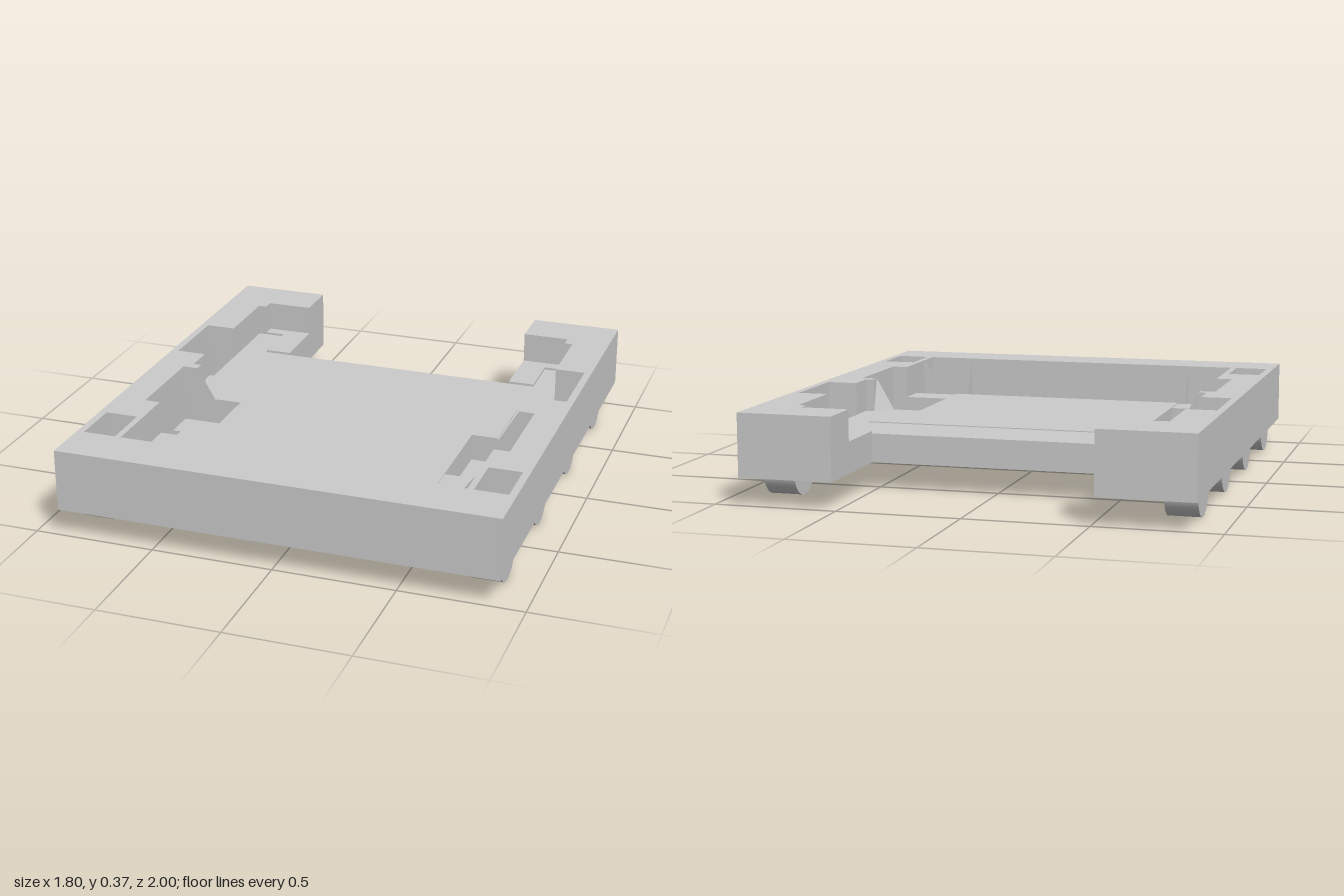
import * as THREE from 'three';

const grey = new THREE.MeshStandardMaterial({ color: 0xcccccc, flatShading: true, side: THREE.DoubleSide });
const smooth = new THREE.MeshStandardMaterial({ color: 0xcccccc, side: THREE.DoubleSide });

const Y0 = 0.11, SKIN = 0.12, FLOOR = 0.228, LEDGE = 0.238, TOP = 0.365;
const FOOT_R = 0.107, FOOT_Z = [0.78, 0.28, -0.22, -0.72], FOOT_X = [0.74, 0.87];

const toVectors = (points) => points.map(([x, z]) => new THREE.Vector2(x, -z));
const mirror = (points) => points.map(([x, z]) => [-x, z]);
const rect = (x0, x1, z0, z1) => [[x0, z0], [x1, z0], [x1, z1], [x0, z1]];
const bothSides = (list) => list.flatMap((p) => [p, mirror(p)]);

// Flat plan [x, z] with holes, raised from y0 to y1
function layer(name, plan, holes, y0, y1) {
  const shape = new THREE.Shape(toVectors(plan));
  shape.holes = holes.map((h) => new THREE.Path(toVectors(h)));
  const g = new THREE.ExtrudeGeometry(shape, { depth: y1 - y0, bevelEnabled: false });
  g.rotateX(-Math.PI / 2).translate(0, y0, 0);
  const m = new THREE.Mesh(g, grey);
  m.name = name;
  return m;
}

// Thin polygon through a few corners, as a fan
function sheet(name, corners) {
  const g = new THREE.BufferGeometry();
  g.setAttribute('position', new THREE.Float32BufferAttribute(corners.flat(), 3));
  const index = [];
  for (let i = 1; i < corners.length - 1; i++) index.push(0, i, i + 1);
  g.setIndex(index);
  g.computeVertexNormals();
  const m = new THREE.Mesh(g, grey);
  m.name = name;
  return m;
}

// Hollow half-round foot lying along x
function foot(side, z) {
  const group = new THREE.Group();
  group.name = 'foot';
  const length = FOOT_X[1] - FOOT_X[0];
  const shell = new THREE.Mesh(
    new THREE.CylinderGeometry(FOOT_R, FOOT_R, length, 24, 1, true, Math.PI, Math.PI).rotateZ(Math.PI / 2), smooth);
  shell.name = 'footShell';
  group.add(shell);
  for (const s of [-1, 1]) {
    const cap = new THREE.Mesh(new THREE.CircleGeometry(FOOT_R, 24, Math.PI, Math.PI).rotateY(s * Math.PI / 2), grey);
    cap.position.x = s * length / 2;
    cap.name = 'footCap';
    group.add(cap);
  }
  group.position.set(side * (FOOT_X[0] + FOOT_X[1]) / 2, Y0, z);
  group.scale.y = Y0 / FOOT_R;
  return group;
}

export function createModel() {
  const model = new THREE.Group();
  model.name = 'tray';

  // Plan with the notch at the back
  const half = [[0.515, -0.55], [0.515, -1], [0.9, -1], [0.9, 1]];
  const outline = [...half, ...mirror(half).reverse()];
  const slot = rect(-0.71, 0.71, 0.56, 0.8);
  const frontPocket = rect(0.735, 0.87, 0.595, 0.8);

  // Underside skin, open above the feet
  const footHoles = bothSides(FOOT_Z.map((z) => rect(...FOOT_X, z - FOOT_R, z + FOOT_R)));
  model.add(layer('underside', outline, [slot, ...footHoles], Y0, SKIN));

  // Floor slab with sunken pockets
  const pockets = [frontPocket, rect(0.745, 0.87, -0.45, -0.12), rect(0.515, 0.775, 0.04, 0.43)];
  model.add(layer('floor', outline, [slot, ...bothSides(pockets)], SKIN, FLOOR));

  // Raised centre of the floor
  const panel = [[0.625, -0.29], [0.625, 0.04], [0.515, 0.04], [0.515, 0.56]];
  model.add(layer('floorPanel', [...panel, ...mirror(panel).reverse()], [], FLOOR, FLOOR + 0.004));

  // Surrounding frame with the stepped inner edge
  const inner = [
    [0.71, 0.8], [0.71, 0.43], [0.775, 0.43], [0.775, 0.04], [0.71, 0.04], [0.71, 0], [0.745, 0],
    [0.745, -0.12], [0.87, -0.12], [0.87, -0.45], [0.745, -0.45], [0.745, -0.76], [0.71, -0.76],
    [0.71, -0.81], [0.515, -0.81],
  ];
  const frameHalf = [...inner, [0.515, -1], [0.9, -1], [0.9, 1]];
  model.add(layer('frame', [...frameHalf, ...mirror(frameHalf).reverse()],
    bothSides([frontPocket]), FLOOR, TOP));

  // Ledges on the rear arms
  const ledge = [[0.515, -0.81], [0.71, -0.81], [0.71, -0.76], [0.625, -0.76], [0.625, -0.55], [0.515, -0.55]];
  for (const plan of bothSides([ledge])) model.add(layer('armLedge', plan, [], FLOOR, LEDGE));

  for (const s of [-1, 1]) {
    for (const z of FOOT_Z) model.add(foot(s, z));

    // Front corner: plate with two triangular fins
    model.add(layer('cornerPlate', rect(s * 0.515, s * 0.71, 0.68, 0.8), [], Y0, SKIN));
    model.add(sheet('cornerFin', [[s * 0.71, TOP, 0.68], [s * 0.71, Y0, 0.68], [s * 0.515, Y0, 0.68]]));
    model.add(sheet('cornerFin', [[s * 0.515, TOP, 0.8], [s * 0.515, Y0, 0.8], [s * 0.515, Y0, 0.68]]));

    // Steep clip beside the middle pocket
    const a = [s * 0.71, TOP, 0.04], b = [s * 0.71, FLOOR, 0], c = [s * 0.63, FLOOR, 0.04], d = [s * 0.71, FLOOR, 0.04];
    model.add(sheet('clipSlope', [a, b, c]), sheet('clipBack', [a, c, d]));
  }
  return model;
}
